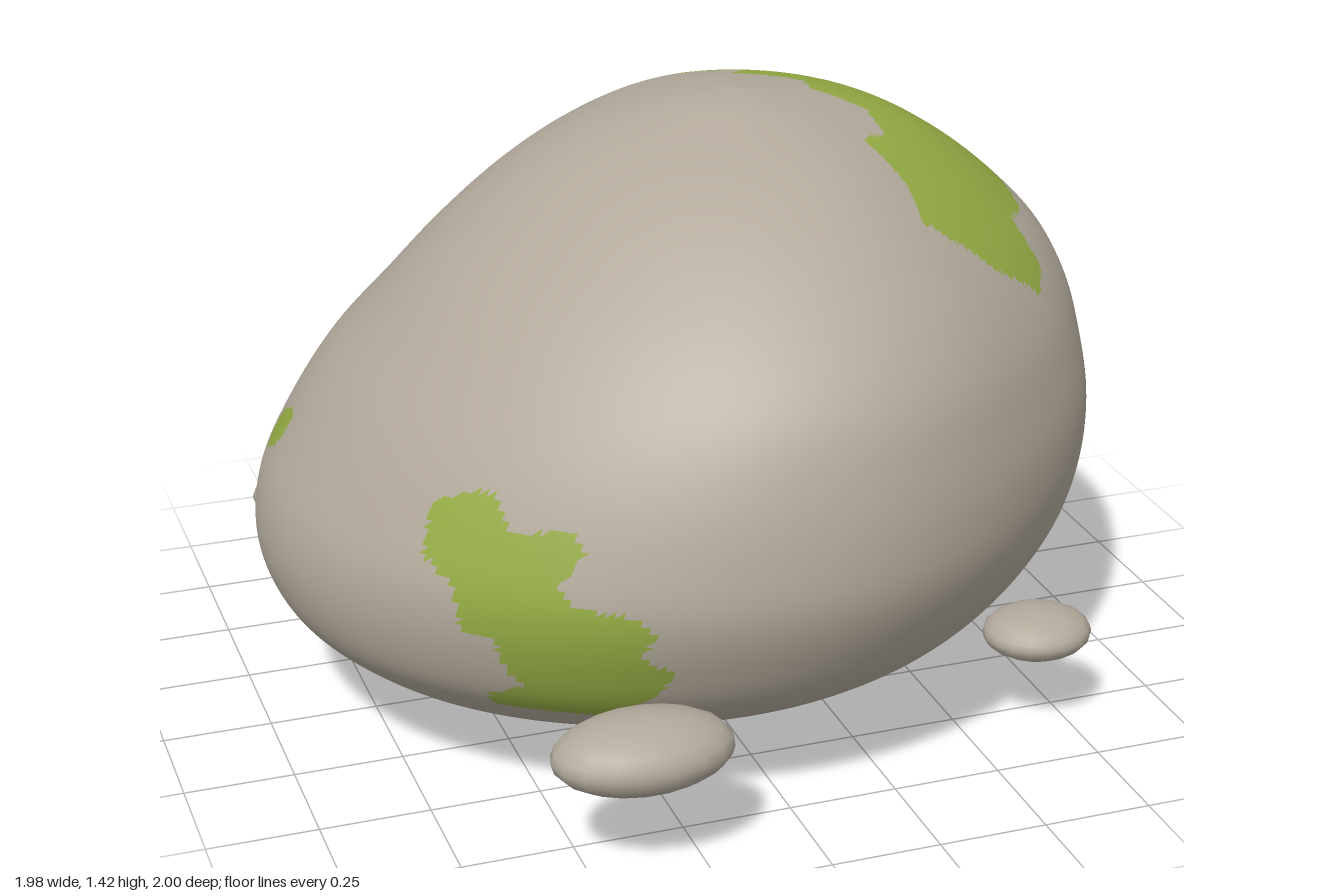
import * as THREE from 'three';

// Boulder outline per height: y, left x, right x, back z, front z
const SECTIONS = [
  [0, -0.1, -0.1, -0.05, -0.05],
  [0.004, -0.22, 0.026, -0.15, 0.055],
  [0.015, -0.33, 0.144, -0.247, 0.155],
  [0.035, -0.444, 0.273, -0.35, 0.263],
  [0.06, -0.56, 0.39, -0.44, 0.365],
  [0.12, -0.73, 0.585, -0.58, 0.515],
  [0.2, -0.85, 0.75, -0.735, 0.67],
  [0.3, -0.945, 0.86, -0.86, 0.8],
  [0.42, -0.988, 0.945, -0.955, 0.875],
  [0.55, -0.975, 0.98, -1, 0.92],
  [0.68, -0.912, 0.985, -0.99, 0.918],
  [0.82, -0.82, 0.96, -0.94, 0.89],
  [0.95, -0.705, 0.92, -0.85, 0.84],
  [1.07, -0.59, 0.855, -0.76, 0.75],
  [1.18, -0.46, 0.75, -0.66, 0.63],
  [1.27, -0.33, 0.635, -0.54, 0.5],
  [1.34, -0.19, 0.51, -0.4, 0.36],
  [1.39, -0.04, 0.36, -0.22, 0.19],
  [1.41, 0.05, 0.24, -0.1, 0.1],
  [1.42, 0.14, 0.14, 0, 0],
];

// Moss outlines, each drawn in its own projection plane
const CROWN_MOSS = [ // x, z seen from above
  [0.42, -0.65], [0.47, -0.58], [0.6, -0.6], [0.6, -0.53], [0.63, -0.49], [0.57, -0.33],
  [0.63, -0.31], [0.72, -0.23], [0.73, -0.12], [0.77, -0.06], [0.74, 0], [0.77, 0.08],
  [0.76, 0.2], [0.7, 0.28], [0.74, 0.36], [0.7, 0.44], [0.56, 0.49], [0.4, 0.47],
  [0.4, 0.36], [0.35, 0.24], [0.42, 0.19], [0.42, 0.08], [0.32, 0], [0.33, -0.08],
  [0.19, -0.18], [0.25, -0.26], [0.12, -0.35], [0.13, -0.39], [0.24, -0.41],
  [0.35, -0.46], [0.29, -0.54], [0.38, -0.59],
];
const FRONT_MOSS = [ // x, y
  [-0.63, 0.78], [-0.6, 0.77], [-0.59, 0.71], [-0.48, 0.74], [-0.46, 0.7], [-0.52, 0.62],
  [-0.5, 0.58], [-0.38, 0.57], [-0.34, 0.53], [-0.37, 0.47], [-0.3, 0.43], [-0.32, 0.36],
  [-0.4, 0.28], [-0.62, 0.28], [-0.64, 0.32], [-0.58, 0.36], [-0.63, 0.43], [-0.64, 0.48],
  [-0.7, 0.49], [-0.71, 0.58], [-0.75, 0.63], [-0.72, 0.73],
];
const BACK_MOSS = [ // sideways distance, y on the back right flank
  [0, 0.645], [0.06, 0.665], [0.11, 0.625], [0.18, 0.645], [0.21, 0.57], [0.21, 0.46],
  [0.135, 0.4], [0.12, 0.32], [-0.05, 0.32], [-0.11, 0.4], [0.015, 0.445], [0.07, 0.54], [0.02, 0.61],
];
// Small moss spots on the same flank: sideways, y, half width, half height
const SPOTS = [[0.275, 0.65, 0.022, 0.02], [0.385, 0.63, 0.03, 0.02], [0.635, 0.66, 0.047, 0.055]];

function inside(poly, u, v) {
  let hit = false;
  for (let i = 0, j = poly.length - 1; i < poly.length; j = i++) {
    const [ui, vi] = poly[i], [uj, vj] = poly[j];
    if ((vi > v) !== (vj > v) && u < ((uj - ui) * (v - vi)) / (vj - vi) + ui) hit = !hit;
  }
  return hit;
}

function isMoss(x, y, z) {
  if (y > 0.8 && inside(CROWN_MOSS, x, z)) return true;
  if (z > 0 && inside(FRONT_MOSS, x, y)) return true;
  if (0.574 * x + 0.819 * z > 0) return false;
  const side = -0.819 * x + 0.574 * z;
  return inside(BACK_MOSS, side, y) ||
    SPOTS.some(([s, h, a, b]) => ((side - s) / a) ** 2 + ((y - h) / b) ** 2 < 1);
}

// How much each diagonal shoulder of the boulder is flattened
function shoulder(cos, sin, y) {
  let cut;
  if (sin > 0) cut = cos > 0 ? 0.045 + 0.035 * THREE.MathUtils.smoothstep(y, 0.7, 1.1) : 0.015;
  else cut = cos > 0 ? 0.005 : 0.055;
  return 1 - cut * (2 * sin * cos) ** 2;
}

// Smooth rounded rings; faces are sorted into stone and moss groups
function boulderGeometry() {
  const spline = (a, b) => new THREE.CatmullRomCurve3(
    SECTIONS.map((s) => new THREE.Vector3(s[a], s[0], s[b])), false, 'catmullrom', 0.5);
  const across = spline(1, 2), along = spline(3, 4);
  const rows = (SECTIONS.length - 1) * 8, cols = 300;
  const pos = [], stone = [], moss = [];
  for (let r = 0; r <= rows; r++) {
    const p = across.getPoint(r / rows), q = along.getPoint(r / rows);
    for (let c = 0; c < cols; c++) {
      const a = (c / cols) * Math.PI * 2;
      const cos = Math.cos(a), sin = Math.sin(a), f = shoulder(cos, sin, p.y);
      pos.push(
        (p.x + p.z) / 2 + ((p.z - p.x) / 2) * cos * f,
        p.y,
        (q.x + q.z) / 2 + ((q.z - q.x) / 2) * sin * f);
    }
  }
  const addFace = (...f) => {
    const mid = [0, 1, 2].map((k) => f.reduce((sum, i) => sum + pos[i * 3 + k], 0) / 3);
    (isMoss(...mid) ? moss : stone).push(...f);
  };
  for (let r = 0; r < rows; r++) {
    for (let c = 0; c < cols; c++) {
      const a = r * cols + c, b = r * cols + ((c + 1) % cols);
      addFace(a, a + cols, b);
      addFace(b, a + cols, b + cols);
    }
  }
  const geo = new THREE.BufferGeometry();
  geo.setAttribute('position', new THREE.Float32BufferAttribute(pos, 3));
  geo.setIndex([...stone, ...moss]);
  geo.addGroup(0, stone.length, 0);
  geo.addGroup(stone.length, moss.length, 1);
  geo.computeVertexNormals();
  return geo;
}

export function createModel() {
  const stoneMat = new THREE.MeshStandardMaterial({ color: 0xb2a99b });
  stoneMat.name = 'stone';
  const mossMat = new THREE.MeshStandardMaterial({ color: 0x94ab44 });
  mossMat.name = 'moss';

  const model = new THREE.Group();
  model.name = 'mossyBoulder';

  const boulder = new THREE.Mesh(boulderGeometry(), [stoneMat, mossMat]);
  boulder.name = 'boulder';
  model.add(boulder);

  // Flattened pebbles around the base: name, centre, half sizes, turn
  const pebbles = [
    ['frontPebble', [-0.38, 0.278, 0.868], [0.202, 0.082, 0.13], 0],
    ['leftPebble', [0.675, 0.232, 0.56], [0.127, 0.056, 0.113], 0],
    ['backPebble', [-0.69, 0.245, -0.72], [0.195, 0.08, 0.145], 0.25],
  ];
  for (const [name, centre, size, turn] of pebbles) {
    const geo = new THREE.SphereGeometry(1, 18, 12);
    geo.scale(...size);
    const pebble = new THREE.Mesh(geo, stoneMat);
    pebble.name = name;
    pebble.position.set(...centre);
    pebble.rotation.y = turn;
    model.add(pebble);
  }
  return model;
}
